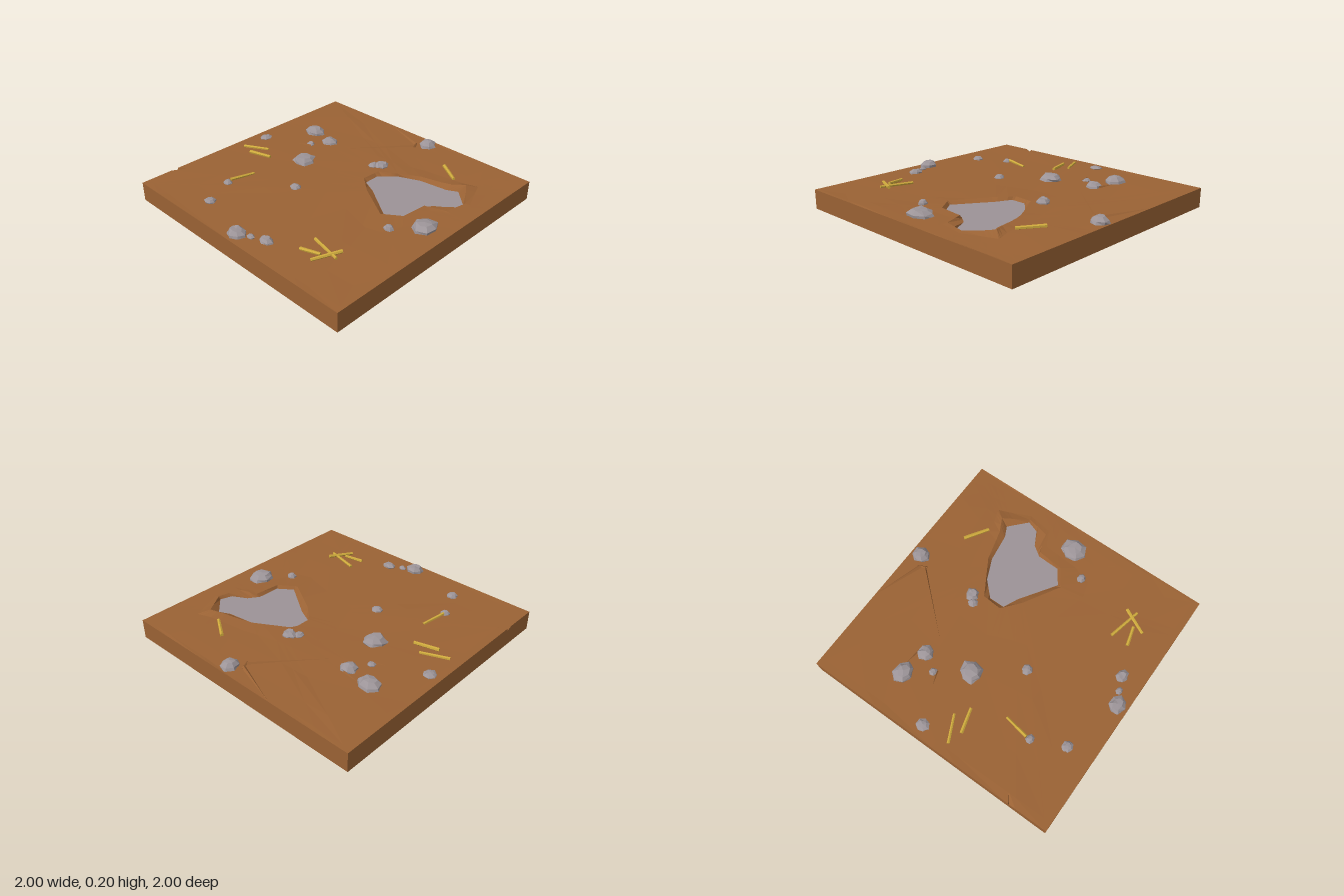
import * as THREE from 'three';

const mat = (name, color, extra = {}) =>
  Object.assign(new THREE.MeshStandardMaterial({ color, flatShading: true, ...extra }), { name });

// repeatable pseudo-noise in 0..1
const hash = (a, b, c = 0) => {
  const s = Math.sin(a * 127.1 + b * 311.7 + c * 74.7) * 43758.5453;
  return s - Math.floor(s);
};

// puddle centre, rim outline and waterline outline as [x, z]
const C = [0.45, -0.25];
const RIM = [[0.11, -0.18], [0.12, -0.33], [0.39, -0.49], [0.62, -0.55], [0.72, -0.6], [0.77, -0.53],
  [0.845, -0.42], [0.81, -0.25], [0.66, -0.2], [0.64, 0], [0.51, 0.09], [0.24, -0.07]];
const POOL = [[0.14, -0.17], [0.14, -0.29], [0.25, -0.4], [0.41, -0.47], [0.62, -0.5], [0.7, -0.54],
  [0.83, -0.42], [0.8, -0.33], [0.69, -0.27], [0.635, -0.19], [0.63, -0.02], [0.52, 0.06], [0.25, -0.12]];
const SQUARE = [[-1, -1], [1, -1], [1, 1], [-1, 1]];
const NOTCH = [[-1, 0.66], [-1, 0.7], [-1, 0.75]];
const TOP = 0.147;

const angleOf = ([x, z]) => Math.atan2(z - C[1], x - C[0]);

// point where a ray from the puddle centre meets a polygon
function hit(poly, a) {
  const dx = Math.cos(a), dz = Math.sin(a);
  let far = 0;
  poly.forEach((p, i) => {
    const q = poly[(i + 1) % poly.length];
    const ex = q[0] - p[0], ez = q[1] - p[1], px = p[0] - C[0], pz = p[1] - C[1];
    const den = dx * ez - dz * ex;
    if (Math.abs(den) < 1e-9) return;
    const t = (px * ez - pz * ex) / den, u = (px * dz - pz * dx) / den;
    if (t > 0 && u > -1e-6 && u < 1 + 1e-6) far = Math.max(far, t);
  });
  return [C[0] + dx * far, C[1] + dz * far];
}

// skin between successive closed rings of [x, y, z]
function loft(rings) {
  const pos = [], n = rings[0].length;
  for (let r = 0; r < rings.length - 1; r++) {
    for (let i = 0; i < n; i++) {
      const j = (i + 1) % n;
      const a = rings[r][i], b = rings[r][j], c = rings[r + 1][j], d = rings[r + 1][i];
      pos.push(...a, ...b, ...c, ...a, ...c, ...d);
    }
  }
  const g = new THREE.BufferGeometry();
  g.setAttribute('position', new THREE.Float32BufferAttribute(pos, 3));
  g.computeVertexNormals();
  return g;
}

// low faceted stone
function rockGeometry(rx, rz, h, seed) {
  const profile = [[1, 0], [0.93, 0.45], [0.55, 0.92], [0, 1]].map(p => new THREE.Vector2(...p));
  const g = new THREE.LatheGeometry(profile, 7);
  const p = g.attributes.position;
  for (let i = 0; i < p.count; i++) {
    const x = p.getX(i), y = p.getY(i), z = p.getZ(i);
    const kx = Math.round(x * 50) + 0, ky = Math.round(y * 50), kz = Math.round(z * 50) + 0;
    const s = 0.85 + 0.3 * hash(kx + seed, kz, ky);
    const dy = y > 0.9 ? 0.2 * hash(kz, kx + seed, 3) : 0;
    p.setXYZ(i, (x * s + y * 0.15 * (hash(seed, 1) - 0.5)) * rx, (y - dy) * h,
      (z * s + y * 0.15 * (hash(seed, 2) - 0.5)) * rz);
  }
  g.computeVertexNormals();
  return g;
}

export function createModel() {
  const group = new THREE.Group();
  const mud = mat('mud brown', 0x9a6234, { side: THREE.DoubleSide });
  const stone = mat('stone grey', 0x9c9498);
  const water = mat('puddle grey', 0x9c9296);
  const straw = mat('straw yellow', 0xcda93c);
  const add = (name, geo, m) => {
    const mesh = new THREE.Mesh(geo, m);
    mesh.name = name;
    group.add(mesh);
    return mesh;
  };

  // ground: rings spread from the puddle bed over its rim to the square edge, then down
  const angles = [...RIM, ...POOL, ...SQUARE, ...NOTCH].map(angleOf);
  for (let i = 0; i < 14; i++) angles.push(-Math.PI + 0.11 + i * Math.PI / 7);
  angles.sort((a, b) => b - a);
  const pool = angles.map(a => hit(POOL, a));
  const rim = angles.map(a => hit(RIM, a));
  const edge = angles.map(a => hit(SQUARE, a));
  const notched = angleOf(NOTCH[1]);
  const ringAt = t => angles.map((a, i) => {
    const x = rim[i][0] + (edge[i][0] - rim[i][0]) * t;
    const z = rim[i][1] + (edge[i][1] - rim[i][1]) * t;
    let y = TOP;
    if (t === 0) y += 0.006 + 0.02 * Math.max(0, 1 - Math.hypot(x - 0.72, z + 0.6) / 0.15);
    else if (t < 1) y += 0.004 * Math.sin(x * 7 + z * 3) * Math.cos(z * 6 - x * 2);
    else if (Math.abs(a - notched) < 1e-6) y -= 0.02;
    return [x, y, z];
  });
  const flat = (pts, y) => pts.map(([x, z]) => [x, y, z]);
  add('ground', loft([flat(pool, 0.128), ...[0, 0.2, 0.45, 0.75, 0.95, 1].map(ringAt), flat(edge, 0)]), mud);
  const base = add('groundUnderside', new THREE.PlaneGeometry(2, 2), mud);
  base.rotation.x = Math.PI / 2;

  // puddle surface
  const puddleShape = new THREE.Shape(POOL.map(([x, z]) => new THREE.Vector2(x, -z)));
  const puddle = add('puddle', new THREE.ShapeGeometry(puddleShape), water);
  puddle.rotation.x = -Math.PI / 2;
  puddle.position.y = 0.132;

  // cracked-earth ridges: start x, z, end x, z, width at the end
  [[-0.34, -1, 0.04, -0.87, 0.035], [-0.33, -0.4, 0.05, -0.83, 0.02], [0.03, -0.9, 0.06, -0.82, 0.03],
    [-0.62, -0.48, -0.48, -0.46, 0.02], [-0.65, -0.22, -0.54, -0.26, 0.02]].forEach(([x0, z0, x1, z1, w]) => {
    const len = Math.hypot(x1 - x0, z1 - z0), nx = -(z1 - z0) / len * w / 2, nz = (x1 - x0) / len * w / 2;
    const a = [x0, TOP, z0], l = [x1 + nx, TOP - 0.004, z1 + nz];
    const r = [x1 - nx, TOP - 0.004, z1 - nz], t = [x1, TOP + 0.012, z1];
    const g = new THREE.BufferGeometry();
    g.setAttribute('position', new THREE.Float32BufferAttribute([a, l, t, a, t, r, l, r, t].flat(), 3));
    g.computeVertexNormals();
    add('earthRidge', g, mud);
  });

  // stones: x, z, half width, half depth, top height
  [[0.12, -0.92, 0.066, 0.07, 0.195], [-0.69, -0.45, 0.09, 0.075, 0.197], [-0.48, -0.41, 0.065, 0.06, 0.185],
    [0.08, -0.41, 0.055, 0.055, 0.185], [0.03, -0.37, 0.035, 0.04, 0.175], [-0.41, -0.06, 0.085, 0.09, 0.195],
    [0.82, 0, 0.09, 0.1, 0.197], [0.66, 0.175, 0.038, 0.033, 0.175], [-0.16, 0.255, 0.045, 0.04, 0.174],
    [-0.56, 0.56, 0.037, 0.033, 0.17], [-0.45, 0.8, 0.045, 0.04, 0.17], [0, 0.92, 0.075, 0.063, 0.197],
    [0.09, 0.875, 0.03, 0.025, 0.17], [0.195, 0.835, 0.055, 0.045, 0.178], [-0.91, -0.1, 0.05, 0.05, 0.165],
    [-0.56, -0.28, 0.032, 0.03, 0.167]].forEach(([x, z, rx, rz, top], i) => {
    const rock = add('stone', rockGeometry(rx, rz, top - 0.135, i + 1), stone);
    rock.position.set(x, 0.138, z);
    rock.rotation.y = 0;
  });

  // straw stalks: start x, y, z, end x, y, z, radius
  [[0.42, 0.155, -0.74, 0.59, 0.155, -0.63, 0.014], [-0.91, 0.152, 0.12, -0.72, 0.16, 0.03, 0.012],
    [-0.8, 0.155, 0.15, -0.62, 0.158, 0.1, 0.014], [-0.56, 0.162, 0.53, -0.525, 0.15, 0.34, 0.012],
    [0.41, 0.157, 0.605, 0.66, 0.165, 0.665, 0.012], [0.64, 0.172, 0.59, 0.55, 0.158, 0.78, 0.013],
    [0.41, 0.152, 0.74, 0.555, 0.162, 0.7, 0.013]].forEach(([x0, y0, z0, x1, y1, z1, r]) => {
    const a = new THREE.Vector3(x0, y0, z0), b = new THREE.Vector3(x1, y1, z1);
    const stalk = add('strawStalk', new THREE.CylinderGeometry(r * 0.85, r, a.distanceTo(b), 6), straw);
    stalk.position.copy(a).add(b).multiplyScalar(0.5);
    stalk.quaternion.setFromUnitVectors(new THREE.Vector3(0, 1, 0), b.sub(a).normalize());
  });

  return group;
}
